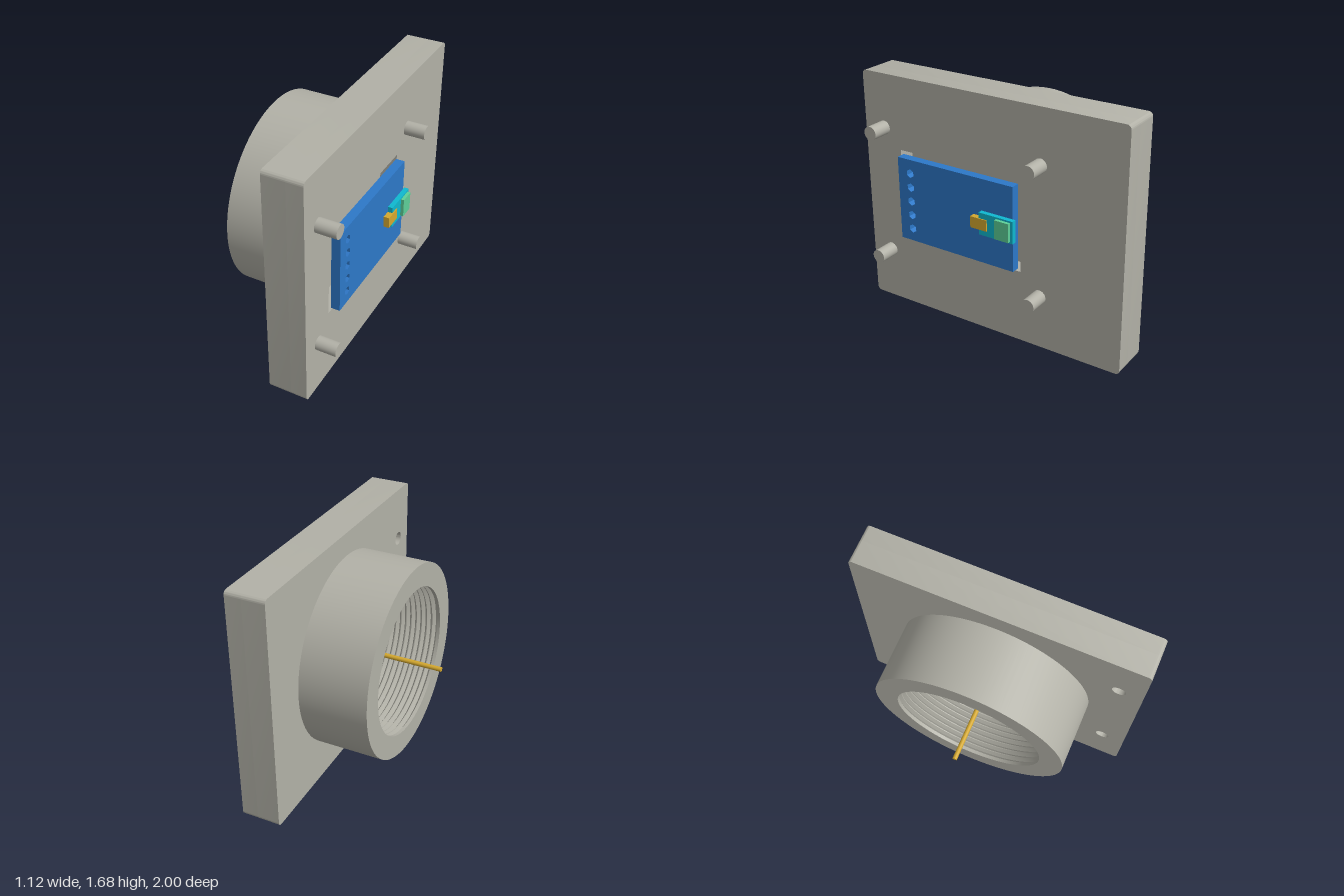
import * as THREE from 'three';
import { toCreasedNormals } from 'three/addons/utils/BufferGeometryUtils.js';

const CY = 0.84; // height of the main axis

const material = (name, color) => {
  const m = new THREE.MeshStandardMaterial({ color });
  m.name = name;
  return m;
};

// Rectangle in the zy plane (shape u = -z), optionally with rounded corners
function rect(Type, z0, z1, y0, y1, r = 0) {
  const p = new Type();
  const a = -z1, b = -z0;
  p.moveTo(a + r, y0);
  p.lineTo(b - r, y0);
  if (r) p.absarc(b - r, y0 + r, r, -Math.PI / 2, 0);
  p.lineTo(b, y1 - r);
  if (r) p.absarc(b - r, y1 - r, r, 0, Math.PI / 2);
  p.lineTo(a + r, y1);
  if (r) p.absarc(a + r, y1 - r, r, Math.PI / 2, Math.PI);
  p.lineTo(a, y0 + r);
  if (r) p.absarc(a + r, y0 + r, r, Math.PI, Math.PI * 1.5);
  p.closePath();
  return p;
}

// Round or polygonal hole at (z, y)
function hole(z, y, r, sides) {
  const pts = [];
  for (let i = 0; i < sides; i++) {
    const t = Math.PI / 2 + (i / sides) * Math.PI * 2;
    pts.push(new THREE.Vector2(-z + r * Math.cos(t), y + r * Math.sin(t)));
  }
  return new THREE.Path(pts);
}

// Extrude a zy shape from x0 to x1
function slab(shape, x0, x1) {
  const g = new THREE.ExtrudeGeometry(shape, { depth: x1 - x0, bevelEnabled: false, curveSegments: 8 });
  g.rotateY(Math.PI / 2).translate(x0, 0, 0);
  return toCreasedNormals(g, 0.6);
}

export function createModel() {
  const model = new THREE.Group();
  const grey = material('grey housing', 0xb2b1a7);
  const blue = material('blue board', 0x2d78c8);
  const gold = material('gold metal', 0xd4a82f);
  const cyan = material('cyan body', 0x0fb9d0);
  const green = material('green chip', 0x5dcf98);

  const add = (name, geometry, mat, x = 0, y = 0, z = 0) => {
    const mesh = new THREE.Mesh(geometry, mat);
    mesh.name = name;
    mesh.position.set(x, y, z);
    model.add(mesh);
  };
  const box = (name, mat, [x0, x1], [y0, y1], [z0, z1]) =>
    add(name, new THREE.BoxGeometry(x1 - x0, y1 - y0, z1 - z0), mat,
      (x0 + x1) / 2, (y0 + y1) / 2, (z0 + z1) / 2);
  const rod = (name, mat, r, x0, x1, y, z, sides) =>
    add(name, new THREE.CylinderGeometry(r, r, x1 - x0, sides).rotateZ(-Math.PI / 2), mat, (x0 + x1) / 2, y, z);

  // Flange plate: rear layer with blind holes, front layer with the board pocket
  const rear = rect(THREE.Shape, -1, 1, 0, 1.68, 0.03);
  for (const y of [0.38, 1.3]) rear.holes.push(hole(0.84, y, 0.048, 32));
  add('flangeRear', slab(rear, 0.14, 0.3), grey);
  const front = rect(THREE.Shape, -1, 1, 0, 1.68, 0.03);
  front.holes.push(rect(THREE.Path, -0.255, 0.705, 0.52, 1.165));
  add('flangeFront', slab(front, 0.3, 0.415), grey);

  // Collar with an internal thread and a smooth relief at its base
  const profile = [[0.68, -0.34], [0.68, 0.14], [0.55, 0.14], [0.55, 0.06]];
  const turns = 10, pitch = 0.4 / turns;
  for (let i = 0; i < turns; i++) {
    const x = 0.06 - i * pitch;
    profile.push([0.517, x - pitch * 0.4], [0.517, x - pitch * 0.55], [0.545, x - pitch * 0.95]);
  }
  profile[profile.length - 1] = [0.517, -0.34];
  profile.push([0.68, -0.34]);
  const collar = new THREE.LatheGeometry(profile.map(([r, x]) => new THREE.Vector2(r, x)), 96);
  add('threadedCollar', toCreasedNormals(collar.rotateZ(-Math.PI / 2), 0.4), grey, 0, CY, 0);

  // Mounting studs
  for (const y of [0.38, 1.3]) for (const z of [-0.4, 0.84]) rod('stud', grey, 0.048, 0.4, 0.56, y, z, 32);

  // Central pin running through the collar
  rod('centrePin', gold, 0.016, -0.56, 0.417, CY, 0, 20);

  // Circuit board with a row of contact holes
  const board = rect(THREE.Shape, -0.24, 0.68, 0.545, 1.143);
  for (let i = -2; i <= 2; i++) board.holes.push(hole(0.58, CY + i * 0.102, 0.031, 6));
  add('circuitBoard', slab(board, 0.418, 0.48), blue);

  // Components on the board
  box('connectorBody', cyan, [0.48, 0.513], [0.765, 0.922], [-0.26, 0]);
  box('connectorChip', green, [0.505, 0.535], [0.777, 0.91], [-0.24, -0.135]);
  box('connectorContact', gold, [0.48, 0.52], [0.803, 0.882], [-0.063, 0.063]);

  return model;
}
